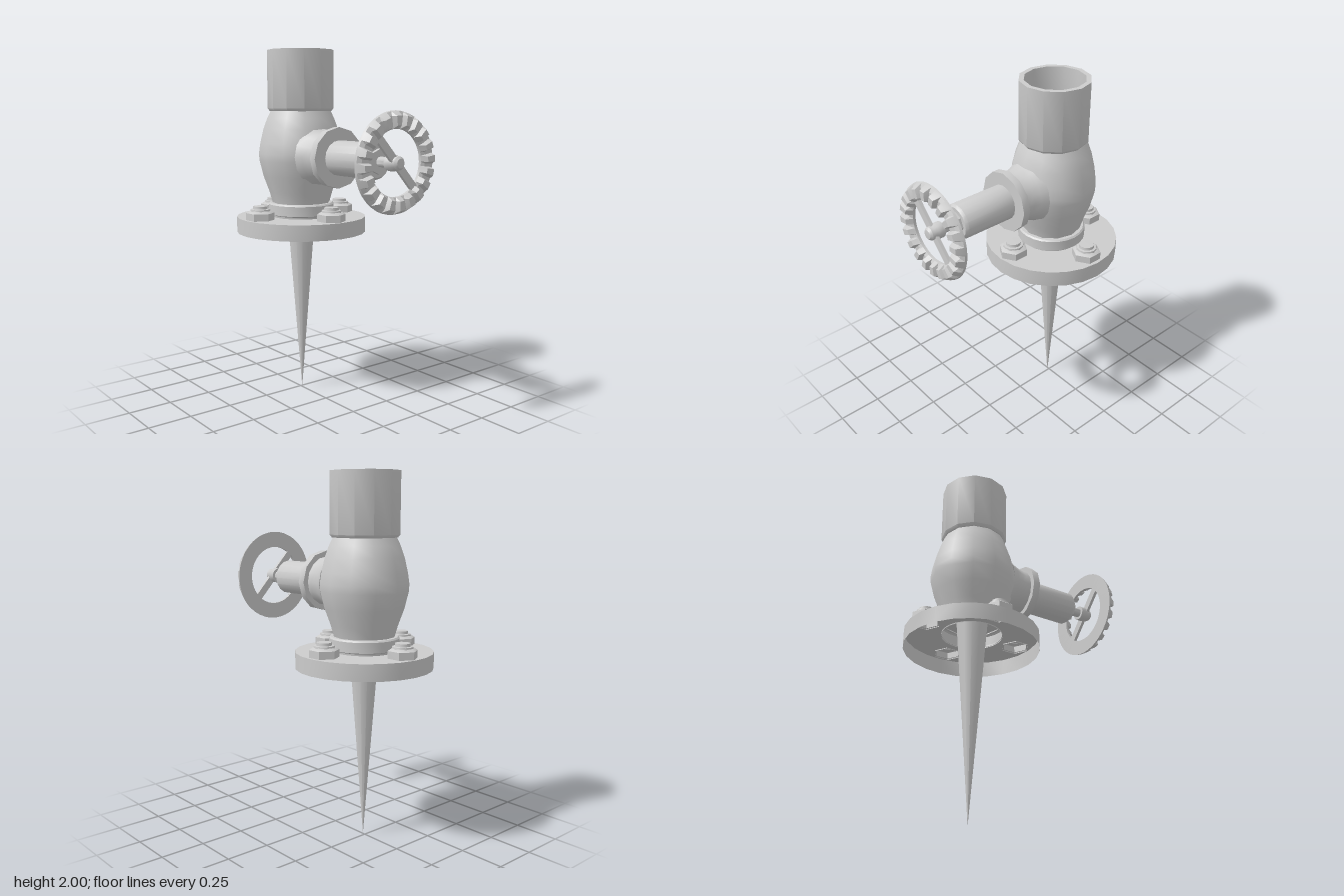
import * as THREE from 'three';
import { toCreasedNormals } from 'three/addons/utils/BufferGeometryUtils.js';

const material = new THREE.MeshStandardMaterial({ color: 0xcccccc, side: THREE.DoubleSide });
const AXIS_Z = -0.235; // vertical axis of the body
const VALVE_Y = 1.41; // height of the horizontal valve axis

function addMesh(parent, name, geometry, crease = 0.7) {
  const mesh = new THREE.Mesh(toCreasedNormals(geometry, crease), material);
  mesh.name = name;
  parent.add(mesh);
  return mesh;
}

// Profile is a list of [radius, height], turned about y.
function turned(profile, sides) {
  return new THREE.LatheGeometry(profile.map(([r, y]) => new THREE.Vector2(r, y)), sides);
}

// Closed outline of a regular polygon with a corner on the second axis.
function polygon(Type, cx, cy, radius, sides) {
  const points = [];
  for (let i = 0; i < sides; i++) {
    const a = (i / sides) * Math.PI * 2;
    points.push(new THREE.Vector2(cx + radius * Math.sin(a), cy + radius * Math.cos(a)));
  }
  return new Type(points);
}

// Hand wheel rim: a flat back and a front cut by radial grooves.
function grippedRim(ridges) {
  const positions = [], index = [];
  const count = ridges * 4, n = 6;
  const offsets = [0, 0.45, 0.6, 0.85]; // ridge start, ridge end, groove start, groove end
  for (let i = 0; i < count; i++) {
    const step = i % 4;
    const a = ((Math.floor(i / 4) + offsets[step]) / ridges) * Math.PI * 2;
    const front = step < 2 ? 0.605 : 0.58;
    const section = [[0.17, 0.555], [0.26, 0.555], [0.257, 0.567], [0.236, front], [0.188, front], [0.17, 0.57]];
    for (const [r, z] of section) positions.push(r * Math.cos(a), r * Math.sin(a), z);
    for (let j = 0; j < n; j++) {
      const i2 = (i + 1) % count, j2 = (j + 1) % n;
      const p = i * n + j, q = i2 * n + j, s = i2 * n + j2, t = i * n + j2;
      index.push(p, q, s, p, s, t);
    }
  }
  const geometry = new THREE.BufferGeometry();
  geometry.setAttribute('position', new THREE.Float32BufferAttribute(positions, 3));
  geometry.setIndex(index);
  return geometry;
}

export function createModel() {
  const model = new THREE.Group();
  model.name = 'spikedValve';

  // Upright parts, around the vertical axis
  const upright = new THREE.Group();
  upright.name = 'uprightBody';
  upright.position.z = AXIS_Z;
  model.add(upright);

  addMesh(upright, 'groundSpike', turned([[0, 0], [0.088, 1.15], [0, 1.15]], 12));

  addMesh(upright, 'bulbBody', turned([
    [0.165, 1.13], [0.185, 1.2], [0.218, 1.29], [0.24, 1.38], [0.243, 1.42],
    [0.234, 1.48], [0.215, 1.56], [0.193, 1.62], [0.168, 1.67],
  ], 12));

  // Open pipe with its bore ending in a bowl inside the bulb
  addMesh(upright, 'outletPipe', turned([
    [0.163, 1.66], [0.178, 1.66], [0.19, 1.675], [0.19, 2], [0.163, 2], [0.163, 1.66],
    [0.19, 1.56], [0.205, 1.42], [0.19, 1.3], [0.14, 1.21], [0.07, 1.175], [0, 1.165],
  ], 12));

  addMesh(upright, 'collar', turned([
    [0.17, 1.05], [0.172, 1.065], [0.19, 1.072], [0.19, 1.128], [0.182, 1.136], [0, 1.14],
  ], 24));

  // Base flange: thin rim and top plate, open below, pierced under the nuts
  addMesh(upright, 'flangeRim', new THREE.CylinderGeometry(0.375, 0.375, 0.09, 24, 1, true).translate(0, 1.01, 0));
  const plate = polygon(THREE.Shape, 0, 0, 0.375, 24);
  plate.holes.push(polygon(THREE.Path, 0, 0, 0.168, 24));
  const nutSpots = [[0.285, 0], [-0.285, 0], [0, 0.285], [0, -0.285]];
  for (const [x, z] of nutSpots) plate.holes.push(polygon(THREE.Path, x, z, 0.072, 6));
  addMesh(upright, 'flangeTop', new THREE.ShapeGeometry(plate).rotateX(-Math.PI / 2).translate(0, 1.055, 0));

  // Four nuts with bolt ends
  for (const [x, z] of nutSpots) {
    const nut = new THREE.Group();
    nut.name = 'flangeNut';
    nut.position.set(x, 1.05, z);
    upright.add(nut);
    addMesh(nut, 'hexNut', turned([[0.08, 0], [0.08, 0.045], [0.06, 0.058], [0, 0.058]], 6));
    addMesh(nut, 'boltEnd', turned([[0.057, 0.055], [0.055, 0.066], [0.042, 0.068], [0.04, 0.083], [0, 0.084]], 12));
  }

  // Valve parts, turned about the horizontal axis
  const valve = new THREE.Group();
  valve.name = 'valve';
  valve.position.y = VALVE_Y;
  model.add(valve);
  const along = (name, profile, sides) => addMesh(valve, name, turned(profile, sides).rotateX(Math.PI / 2));

  along('valveNeck', [[0.17, -0.06], [0.152, -0.02], [0.14, 0.02], [0.136, 0.05], [0.136, 0.085]], 16);
  along('neckFlange', [[0, 0.075], [0.167, 0.075], [0.167, 0.117], [0, 0.117]], 12);
  along('valveBarrel', [[0.096, 0.11], [0.096, 0.415], [0.085, 0.43], [0, 0.43]], 16);
  along('glandNut', [[0.066, 0.425], [0.066, 0.45], [0, 0.45]], 8);
  along('stem', [[0.027, 0.44], [0.027, 0.53]], 10);
  along('wheelHub', [[0, 0.52], [0.043, 0.52], [0.043, 0.556], [0.036, 0.57], [0.036, 0.59], [0.025, 0.602], [0, 0.605]], 12);

  // Hand wheel with a single diagonal bar
  addMesh(valve, 'wheelRim', grippedRim(20), 0.3);
  const bar = addMesh(valve, 'wheelBar', new THREE.BoxGeometry(0.37, 0.042, 0.018));
  bar.position.z = 0.567;
  bar.rotation.z = -0.82;

  return model;
}
